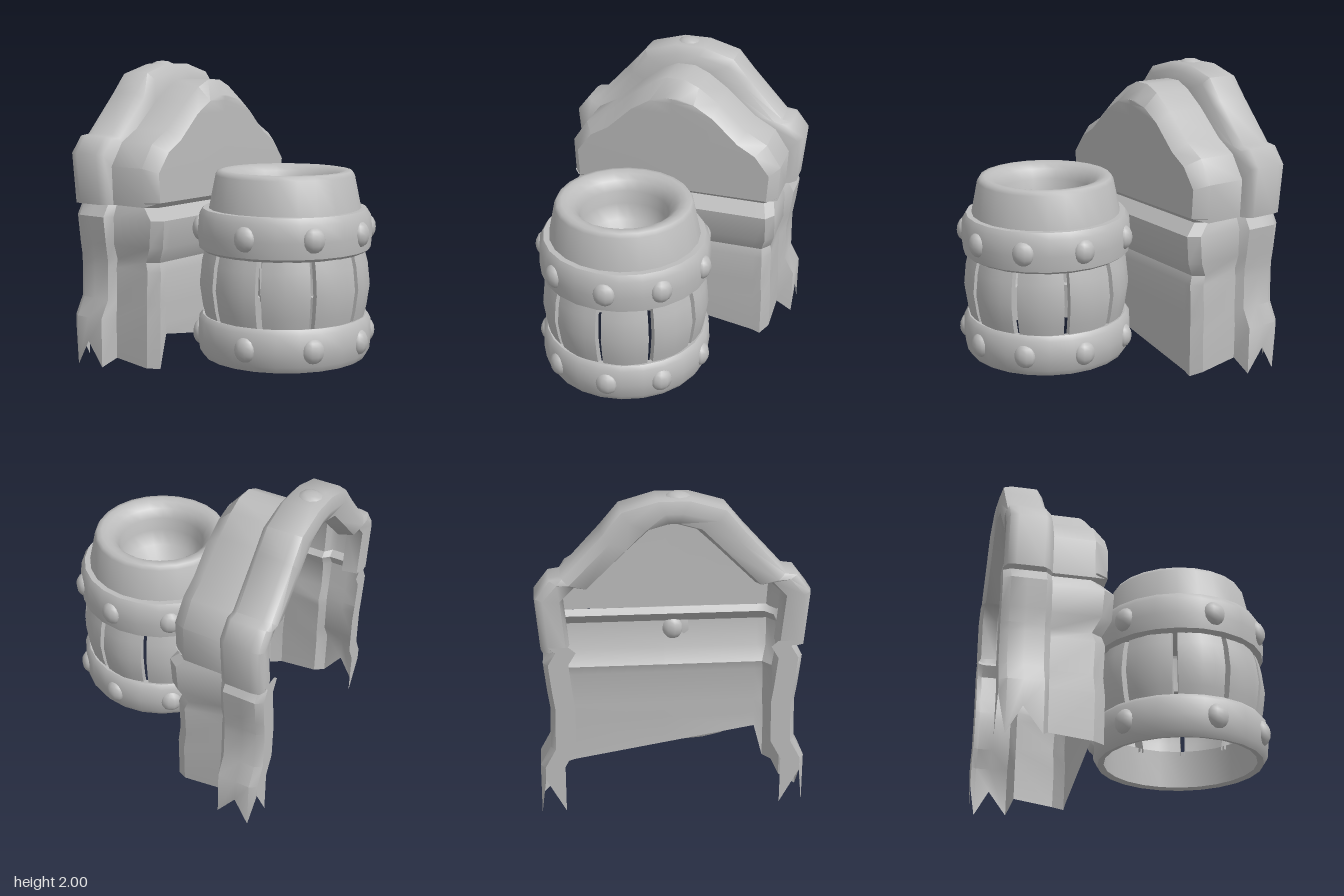
import * as THREE from 'three';
import { toCreasedNormals } from 'three/addons/utils/BufferGeometryUtils.js';

const stone = new THREE.MeshStandardMaterial({ color: 0xbcbcbc, side: THREE.DoubleSide });
stone.name = 'plain grey';

const V = (x, y, z) => new THREE.Vector3(x, y, z);

function mesh(name, geometry, crease = 0.75) {
  const m = new THREE.Mesh(toCreasedNormals(geometry, crease), stone);
  m.name = name;
  return m;
}

// Surface through rows holding equal numbers of points
function loft(rows) {
  const n = rows[0].length, index = [];
  for (let r = 0; r < rows.length - 1; r++) {
    for (let i = 0; i < n - 1; i++) {
      const a = r * n + i, b = a + n;
      index.push(a, a + 1, b, b, a + 1, b + 1);
    }
  }
  const g = new THREE.BufferGeometry().setFromPoints(rows.flat());
  g.setIndex(index);
  return g;
}

const lathe = (pts) => new THREE.LatheGeometry(pts.map(([r, y]) => new THREE.Vector2(r, y)), 24);

// Arched hood: outlines are half arches (z, y), mirrored across z = 0
function hood() {
  const group = new THREE.Group();
  group.name = 'hood';
  const rim = [[.785, 1.08], [.815, 1.41], [.73, 1.52], [.66, 1.53], [.42, 1.79], [.31, 1.92], [.1, 1.98]];
  const body = [[.72, 1.08], [.73, 1.33], [.63, 1.48], [.49, 1.56], [.3, 1.73], [.16, 1.83], [.06, 1.875]];
  const face = [[.66, 1.11], [.67, 1.3], [.57, 1.43], [.45, 1.5], [.28, 1.66], [.15, 1.74], [.05, 1.77]];
  const arch = (x, half, dz = 0, dy = 0) => {
    const pt = ([z, y], i, s) => V(x, y - dy * i / 6, s * Math.max(z - dz, .03));
    return [...half.map((p, i) => pt(p, i, 1)), ...half.map((p, i) => pt(p, i, -1)).reverse()];
  };
  const flat = face.map(([, y]) => [0, y]);
  const middle = [...flat, ...flat.slice().reverse()].map(([, y]) => V(-.265, y, 0));
  group.add(mesh('hoodRim', loft([
    arch(-.8, rim, .17, .17), arch(-.9, rim, .15, .14), arch(-.92, rim, .05, .08), arch(-.9, rim, .01, .01),
    arch(-.85, rim), arch(-.68, rim), arch(-.64, rim, .03, .05), arch(-.62, body),
  ]), 1));
  group.add(mesh('hoodPanel', loft([arch(-.62, body), arch(-.36, body), arch(-.27, face), middle])));

  // Small cap on the crest
  const knob = mesh('crestKnob', new THREE.SphereGeometry(1, 10, 6), 1);
  knob.scale.set(.08, .035, .08);
  knob.position.set(-.79, 1.965, .03);
  group.add(knob);
  return group;
}

// Lower walls: U-shaped contours at each height, torn along the bottom
function lowerWalls() {
  const contour = (y, rimZ, bodyZ, front, tornLeft, tornRight) => {
    const half = [
      [-.92, rimZ - .15], [-.92, rimZ - .03], [-.875, rimZ], [-.78, rimZ], [-.66, rimZ], [-.62, bodyZ],
      [front - .07, bodyZ], [front, bodyZ - .05], [front, bodyZ - .11], [front, 0],
    ];
    const left = half.map(([x, z], i) => V(x, tornLeft ? tornLeft[i] : y, z));
    const right = half.map(([x, z], i) => V(x, tornRight ? tornRight[i] : y, -z));
    return [...left, ...right.reverse().slice(1)];
  };
  const rows = [
    [1.11, .77, .72, -.27], [1.075, .73, .69, -.31], [1.0, .775, .72, -.23], [.82, .755, .72, -.245],
    [.72, .74, .69, -.3], [.66, .74, .7, -.28], [.45, .745, .7, -.29], [.33, .81, .71, -.28],
  ].map((r) => contour(...r));
  rows.push(contour(0, .81, .71, -.285,
    [.03, .25, 0, .17, .01, .06, .03, .03, .25, .15],
    [.03, .25, 0, .17, .01, .1, .06, .03, .05, .15]));
  return mesh('lowerWalls', loft(rows), .6);
}

// Barrel with bowed staves, two studded hoops and a hollow cap
function barrel() {
  const group = new THREE.Group();
  group.name = 'barrel';
  group.position.set(.32, 0, .13);

  const upper = [[.47, .83], [.52, .81], [.55, .83], [.56, .93], [.55, 1.04], [.525, 1.08], [.47, 1.08], [.47, .83]];
  const lower = [[.485, .14], [.525, .13], [.55, .17], [.56, .26], [.555, .37], [.53, .4], [.48, .39], [.485, .14]];
  group.add(mesh('upperHoop', lathe(upper)), mesh('lowerHoop', lathe(lower)));
  group.add(mesh('barrelCap', lathe([
    [.49, 1.07], [.445, 1.29], [.43, 1.315], [.4, 1.32], [.36, 1.31], [.32, 1.28], [.285, 1.22],
    [.28, 1.13], [.24, 1.03], [.16, .96], [.08, .93], [0, .92],
  ]), 1));

  for (let k = 0; k < 10; k++) {
    const mid = k * Math.PI / 5;
    const rows = [[.36, .505], [.46, .53], [.6, .55], [.74, .535], [.86, .505]].map(([y, r]) =>
      [[-16.5, -.05], [-16, -.005], [-8, 0], [0, .004], [8, 0], [16, -.005], [16.5, -.05]].map(([deg, d]) => {
        const a = mid + THREE.MathUtils.degToRad(deg);
        return V(Math.sin(a) * (r + d), y, Math.cos(a) * (r + d));
      }));
    group.add(mesh('stave', loft(rows)));
  }

  for (const y of [.265, .945]) {
    for (const deg of [9, 54, 95, 133, 174, 217, 262, 307]) {
      const a = THREE.MathUtils.degToRad(deg);
      const stud = mesh('stud', new THREE.SphereGeometry(1, 10, 8), 1.2);
      stud.scale.set(.075, .08, .055);
      stud.rotation.y = a;
      stud.position.set(Math.sin(a) * .538, y, Math.cos(a) * .538);
      group.add(stud);
    }
  }
  return group;
}

export function createModel() {
  const model = new THREE.Group();
  model.name = 'hoodAndBarrel';
  model.add(hood(), lowerWalls(), barrel());
  return model;
}
